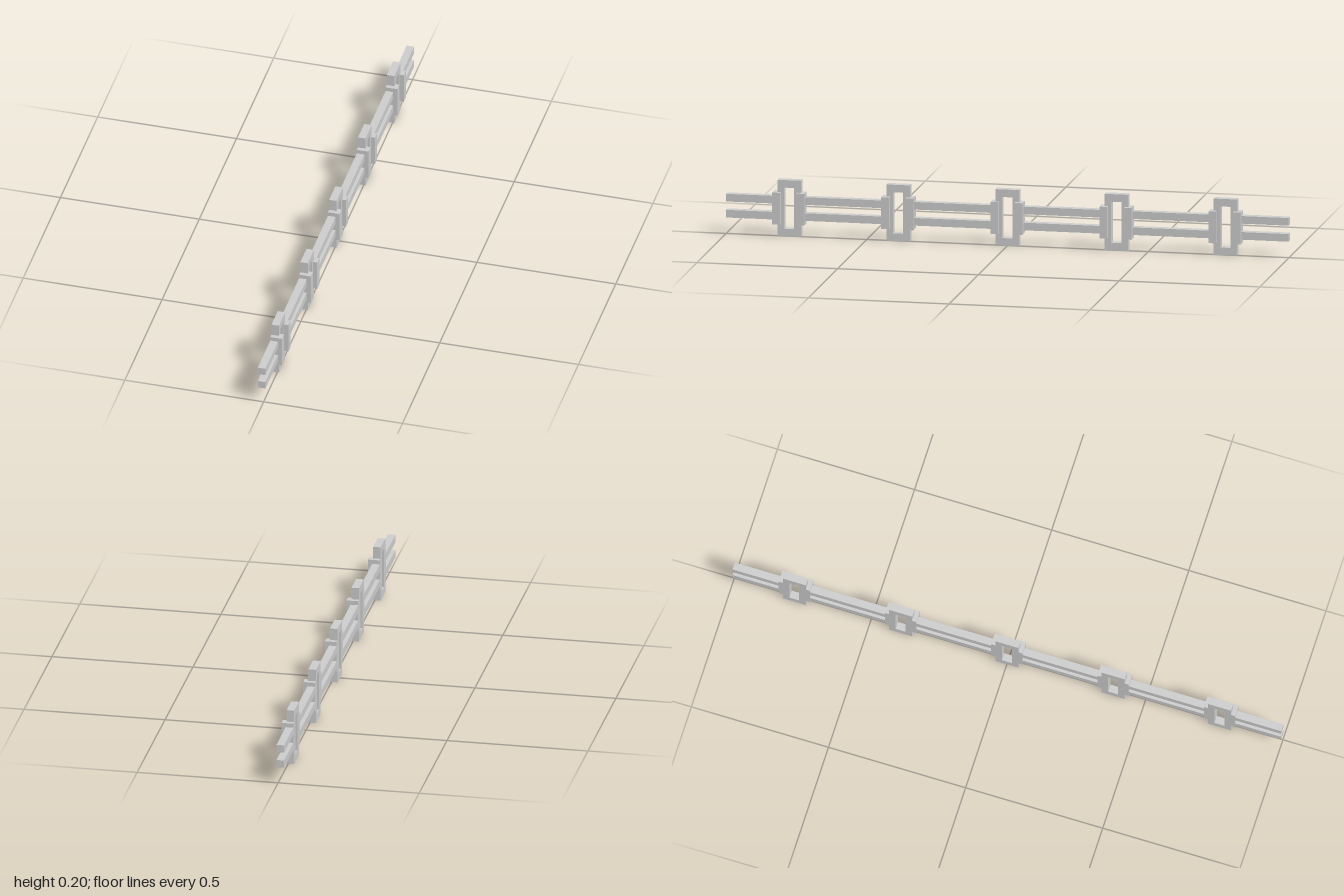
import * as THREE from 'three';

const material = new THREE.MeshStandardMaterial({ color: 0xcccccc, flatShading: true });

// box given by its limits on each axis
function box(name, [x0, x1], [y0, y1], [z0, z1]) {
  const mesh = new THREE.Mesh(new THREE.BoxGeometry(x1 - x0, y1 - y0, z1 - z0), material);
  mesh.position.set((x0 + x1) / 2, (y0 + y1) / 2, (z0 + z1) / 2);
  mesh.name = name;
  return mesh;
}

const BACK = -0.021, FACE = 0.006, FRONT = 0.021; // depth limits along x
const HALF = 0.042;                               // half width of a frame

// upright rectangular frame with a slot and a clamp on each side
function createBracket() {
  const bracket = new THREE.Group();
  bracket.name = 'bracket';

  const outline = new THREE.Shape([[-HALF, 0], [HALF, 0], [HALF, 0.2], [-HALF, 0.2]]
    .map(([z, y]) => new THREE.Vector2(z, y)));
  outline.holes.push(new THREE.Path([[-0.018, 0.027], [-0.018, 0.173], [0.018, 0.173], [0.018, 0.027]]
    .map(([z, y]) => new THREE.Vector2(z, y))));
  const geometry = new THREE.ExtrudeGeometry(outline, { depth: FACE - BACK, bevelEnabled: false });
  geometry.rotateY(Math.PI / 2).translate(BACK, 0, 0);
  const frame = new THREE.Mesh(geometry, material);
  frame.name = 'frame';
  bracket.add(frame);

  for (const s of [-1, 1]) {
    const z = [s * 0.029, s * 0.057].sort((a, b) => a - b);
    bracket.add(box('sideClamp', [BACK, FRONT], [0.044, 0.157], z));
  }
  return bracket;
}

export function createModel() {
  const model = new THREE.Group();
  model.name = 'railing';

  const centres = [-0.775, -0.3875, 0, 0.3875, 0.775];
  for (const z of centres) {
    const bracket = createBracket();
    bracket.position.z = z;
    model.add(bracket);
  }

  // paired rails running between the frames and out to both ends
  const starts = [-1, ...centres.map((z) => z + HALF)];
  const ends = [...centres.map((z) => z - HALF), 1];
  starts.forEach((z0, i) => {
    model.add(box('lowerRail', [BACK, FACE], [0.058, 0.085], [z0, ends[i]]));
    model.add(box('upperRail', [BACK, FACE], [0.115, 0.142], [z0, ends[i]]));
  });
  return model;
}
